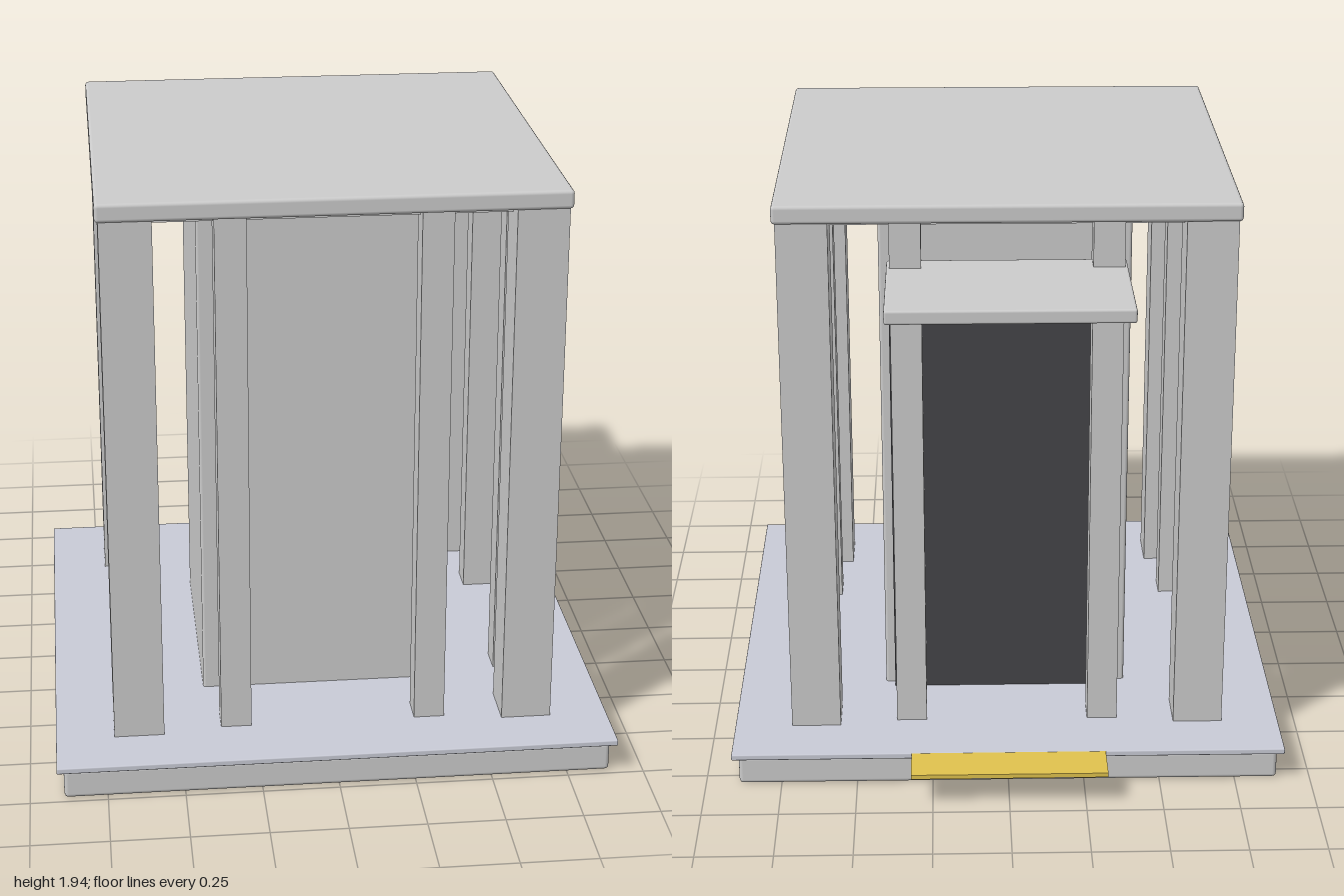
import * as THREE from 'three';
import { RoundedBoxGeometry } from 'three/addons/geometries/RoundedBoxGeometry.js';

const material = (color) => new THREE.MeshStandardMaterial({ color });
const grey = material(0xcccccc);
const paving = material(0xc9cbd6);
const darkGrey = material(0x444448);
const gold = material(0xe0c24e);
const orange = material(0xe0902e);

const MID_Z = 0.09; // centre of the pavilion, set forward of the porch

export function createModel() {
  const model = new THREE.Group();
  model.name = 'pavilion';

  // Box given by its x, y and z ranges, with optionally rounded edges
  function box(name, [x0, x1], [y0, y1], [z0, z1], mat = grey, radius = 0) {
    const size = [x1 - x0, y1 - y0, z1 - z0];
    const geometry = radius
      ? new RoundedBoxGeometry(...size, 2, radius)
      : new THREE.BoxGeometry(...size);
    const mesh = new THREE.Mesh(geometry, mat);
    mesh.name = name;
    mesh.position.set((x0 + x1) / 2, (y0 + y1) / 2, (z0 + z1) / 2);
    model.add(mesh);
  }

  // Square column standing on the deck
  function column(name, x, z, width) {
    const h = width / 2;
    box(name, [x - h, x + h], [0.12, 1.885], [z - h, z + h]);
  }

  // Plinth and thin overhanging deck
  box('plinth', [-0.89, 0.89], [0, 0.1], [-0.805, 0.98], grey, 0.014);
  box('deck', [-0.912, 0.912], [0.1, 0.12], [-0.827, 1], paving, 0.004);

  // Corner columns, and a pair of slim columns on each side
  for (const a of [-1, 1]) {
    for (const b of [-1, 1]) {
      column('cornerColumn', a * 0.64, MID_Z + b * 0.64, 0.163);
      column('slimColumn', a * 0.32, MID_Z + b * 0.64, 0.1);
      column('slimColumn', a * 0.64, MID_Z + b * 0.32, 0.1);
    }
  }

  // Roof slab with inset ceiling
  box('ceiling', [-0.64, 0.64], [1.85, 1.885], [MID_Z - 0.64, MID_Z + 0.64]);
  box('roof', [-0.732, 0.732], [1.88, 1.94], [-0.645, 0.82], grey, 0.012);

  // Inner chamber with its back door and lintel strip
  box('chamber', [-0.412, 0.412], [0.11, 1.823], [-0.323, 0.502], grey, 0.01);
  box('door', [-0.38, 0.38], [0.12, 1.505], [-0.357, -0.32], darkGrey);
  box('doorLintel', [-0.38, 0.38], [1.5, 1.53], [-0.37, -0.347], orange);

  // Canopy and threshold at the rear entrance
  box('canopy', [-0.38, 0.38], [1.677, 1.722], [-1, -0.515], grey, 0.008);
  box('threshold', [-0.32, 0.32], [0.104, 0.119], [-0.967, -0.815], gold);

  return model;
}
